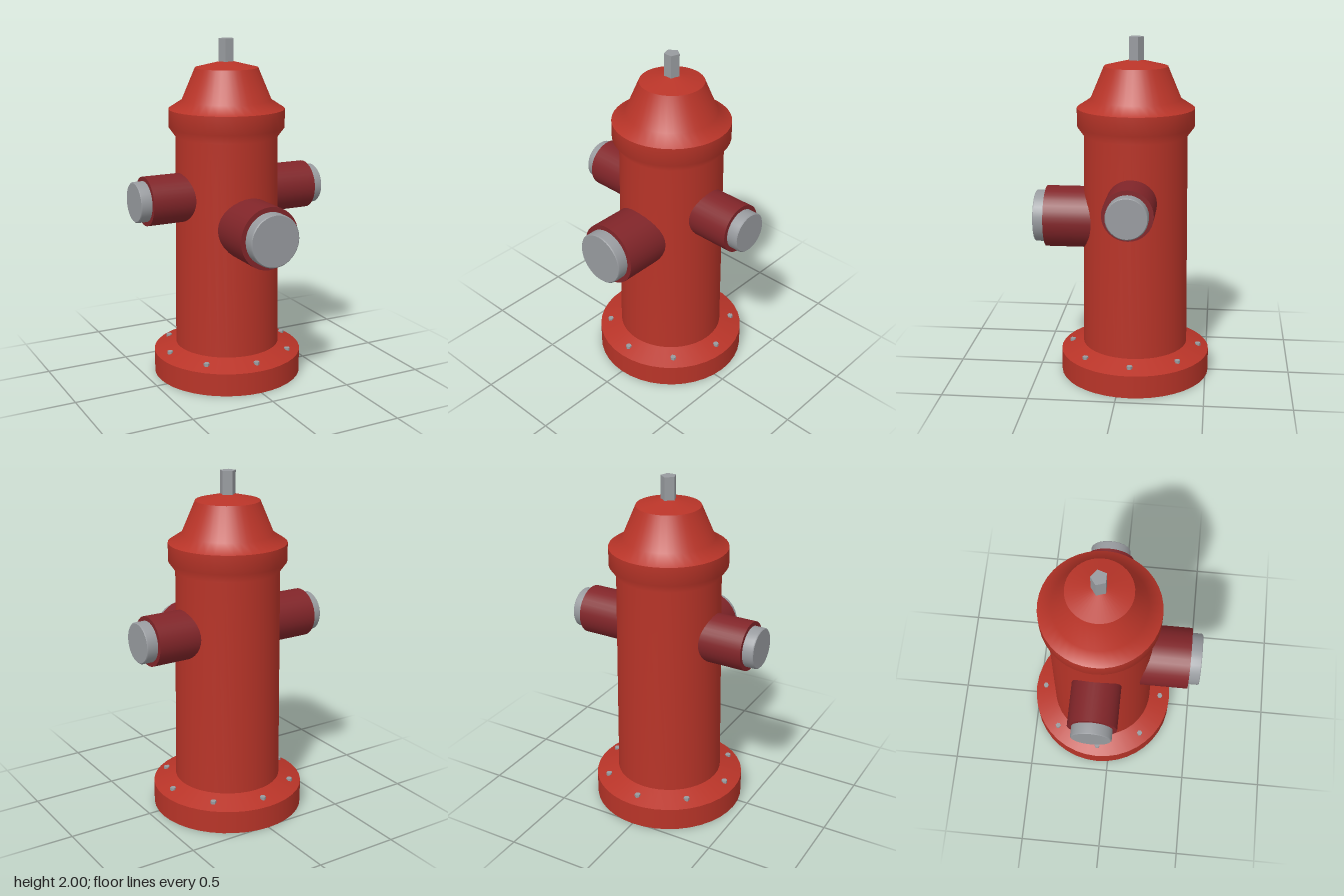
import * as THREE from 'three';

const paint = (name, color) => {
  const m = new THREE.MeshStandardMaterial({ color });
  m.name = name;
  return m;
};

export function createModel() {
  const red = paint('red paint', 0xb83428);
  const darkRed = paint('dark red paint', 0x812529);
  const steel = paint('steel', 0x989b9f);

  const model = new THREE.Group();
  model.name = 'fireHydrant';
  const hydrant = new THREE.Group();
  hydrant.name = 'hydrant';
  hydrant.position.z = -0.073;
  model.add(hydrant);

  const add = (parent, name, geometry, material, x = 0, y = 0, z = 0) => {
    const mesh = new THREE.Mesh(geometry, material);
    mesh.name = name;
    mesh.position.set(x, y, z);
    parent.add(mesh);
    return mesh;
  };
  // Each turned section is smooth inside and creased where it meets the next
  const turned = (parent, name, material, profile, segments = 40) =>
    add(parent, name, new THREE.LatheGeometry(profile.map(p => new THREE.Vector2(...p)), segments), material);

  // Base flange, barrel with collar, and bonnet
  turned(hydrant, 'baseUnderside', red, [[0, 0], [0.442, 0]]);
  turned(hydrant, 'baseRim', red, [[0.442, 0], [0.442, 0.135]]);
  turned(hydrant, 'baseSlope', red, [[0.442, 0.135], [0.308, 0.185]]);
  turned(hydrant, 'barrel', red, [[0.31, 0.183], [0.297, 1.44], [0.337, 1.495], [0.337, 1.6]]);
  turned(hydrant, 'bonnet', red, [[0.337, 1.6], [0.26, 1.65], [0.182, 1.835]]);
  turned(hydrant, 'bonnetTop', red, [[0.182, 1.835], [0, 1.879]]);

  // Five-sided operating nut, one corner to the back
  const nut = add(hydrant, 'operatingNut', new THREE.CylinderGeometry(0.045, 0.045, 0.16, 5).toNonIndexed(), steel, 0, 1.92, 0);
  nut.geometry.computeVertexNormals();
  nut.rotation.y = Math.PI;

  // Ring of flange bolts
  const boltGeometry = new THREE.CylinderGeometry(0.017, 0.017, 0.04, 6).toNonIndexed();
  boltGeometry.computeVertexNormals();
  for (let i = 0; i < 8; i++) {
    const a = i * Math.PI / 4;
    add(hydrant, 'flangeBolt', boltGeometry, steel, 0.379 * Math.sin(a), 0.151, 0.379 * Math.cos(a));
  }

  // Outlet built along its own +y, then laid on its side
  const outlet = (name, y, radius, capRadius, length, capEnd) => {
    const group = new THREE.Group();
    group.name = name;
    group.position.y = y;
    add(group, 'outletPipe', new THREE.CylinderGeometry(radius, radius, length - 0.1, 32), darkRed, 0, (length + 0.1) / 2, 0);
    const b = 0.006;
    turned(group, 'capSide', steel,
      [[capRadius, length - 0.01], [capRadius, capEnd - b], [capRadius - b, capEnd]], 32);
    turned(group, 'capFace', steel, [[capRadius - b, capEnd], [0, capEnd]], 32);
    hydrant.add(group);
    return group;
  };
  outlet('frontOutlet', 0.945, 0.18, 0.152, 0.523, 0.588).rotation.x = Math.PI / 2;
  for (const side of [1, -1]) {
    outlet(side > 0 ? 'leftOutlet' : 'rightOutlet', 1.102, 0.142, 0.117, 0.523, 0.587).rotation.z = -side * Math.PI / 2;
  }

  return model;
}
